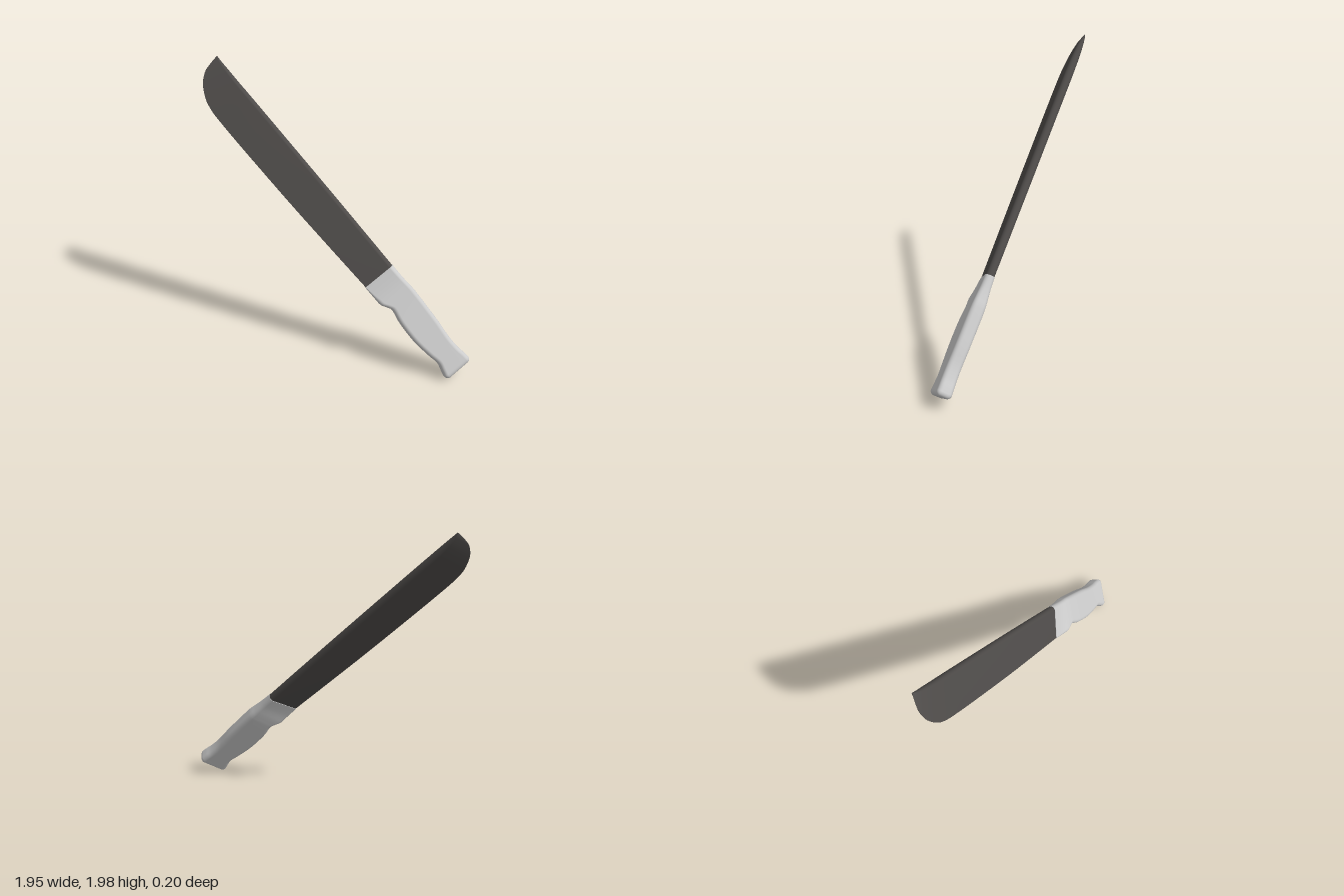
import * as THREE from 'three';

// Local frame: x = width (spine to cutting edge), y = thickness, z = length (butt to tip)
const FRAME = new THREE.Matrix4().makeBasis(
  new THREE.Vector3(-0.531, -0.543, 0.65),
  new THREE.Vector3(0.454, 0.465, 0.76),
  new THREE.Vector3(-0.715, 0.699, 0),
).setPosition(0.526, 0.538, -0.057);

const ARC = 6; // steps per rounded corner

// Rounded wedge outline: spine at w0, edge at w1, half thickness h0 and h1
function section([u, w0, w1, h0, h1, r]) {
  const points = [];
  const corners = [[w1, h1, 1, 1], [w0, h0, -1, 1], [w0, -h0, -1, -1], [w1, -h1, 1, -1]];
  corners.forEach(([w, t, sw, st], k) => {
    const q = Math.min(r, Math.abs(t), (w1 - w0) / 2);
    for (let i = 0; i <= ARC; i++) {
      const a = (k + i / ARC) * Math.PI / 2;
      points.push([w - sw * q + q * Math.cos(a), t - st * q + q * Math.sin(a), u]);
    }
  });
  return points;
}

// Smooth interpolation between the key sections
function refine(keys, steps) {
  const out = [];
  for (let k = 0; k < keys.length - 1; k++) {
    const [a, b, c, d] = [-1, 0, 1, 2].map(
      (o) => keys[THREE.MathUtils.clamp(k + o, 0, keys.length - 1)]);
    for (let i = 0; i < steps; i++) {
      const t = i / steps;
      out.push(b.map((p, n) => p + 0.5 * t * (c[n] - a[n]
        + t * (2 * a[n] - 5 * p + 4 * c[n] - d[n]
        + t * (3 * (p - c[n]) + d[n] - a[n])))));
    }
  }
  out.push(keys[keys.length - 1]);
  return out;
}

// Closed skin through the sections, with flat end caps
function loft(sections) {
  const rings = sections.map(section);
  const n = rings[0].length;
  const positions = rings.flat(2);
  const index = [];
  for (let i = 0; i < rings.length - 1; i++) {
    for (let j = 0; j < n; j++) {
      const a = i * n + j, b = i * n + (j + 1) % n;
      index.push(a, b, a + n, b, b + n, a + n);
    }
  }
  const cap = (ring, flip) => {
    const start = positions.length / 3;
    positions.push(...ring.flat());
    for (let j = 1; j < n - 1; j++) {
      index.push(start, start + (flip ? j + 1 : j), start + (flip ? j : j + 1));
    }
  };
  cap(rings[0], true);
  cap(rings[rings.length - 1], false);
  const geometry = new THREE.BufferGeometry();
  geometry.setAttribute('position', new THREE.Float32BufferAttribute(positions, 3));
  geometry.setIndex(index);
  geometry.applyMatrix4(FRAME);
  geometry.computeVertexNormals();
  return geometry;
}

export function createModel() {
  const group = new THREE.Group();
  const add = (name, geometry, color) => {
    const mesh = new THREE.Mesh(geometry, new THREE.MeshStandardMaterial({ color }));
    mesh.name = name;
    group.add(mesh);
  };

  // Blade: thick round spine, thin edge curving up to the tip
  const blade = [
    [0.20, -0.030, 0.203, 0.030, 0.002, 0.03],
    [0.60, -0.032, 0.217, 0.030, 0.002, 0.03],
    [1.00, -0.033, 0.229, 0.030, 0.002, 0.03],
    [1.50, -0.032, 0.236, 0.030, 0.002, 0.03],
    [1.74, -0.031, 0.235, 0.030, 0.002, 0.03],
    [1.82, -0.030, 0.229, 0.029, 0.002, 0.03],
    [1.89, -0.030, 0.212, 0.027, 0.002, 0.03],
    [1.976, -0.030, 0.165, 0.021, 0.002, 0.03],
    [2.03, -0.030, 0.104, 0.013, 0.002, 0.03],
    [2.05, -0.031, 0.050, 0.008, 0.002, 0.03],
    [2.063, -0.032, -0.022, 0.003, 0.001, 0.03],
  ];
  add('blade', loft(refine(blade, 5)), 0x4e4b49);

  // Handle: flared pommel, swelling grip, finger guard, then a collar hugging the blade
  const handle = [
    [-0.57, -0.026, 0.187, 0.053, 0.053, 0.03],
    [-0.53, -0.022, 0.176, 0.052, 0.052, 0.03],
    [-0.47, -0.014, 0.163, 0.051, 0.051, 0.03],
    [-0.38, -0.013, 0.178, 0.050, 0.050, 0.03],
    [-0.25, -0.025, 0.191, 0.050, 0.050, 0.03],
    [-0.10, -0.033, 0.185, 0.050, 0.049, 0.03],
    [0.00, -0.037, 0.167, 0.049, 0.045, 0.03],
    [0.04, -0.037, 0.180, 0.047, 0.041, 0.029],
    [0.085, -0.034, 0.204, 0.043, 0.034, 0.028],
    [0.155, -0.032, 0.207, 0.037, 0.018, 0.03],
    [0.24, -0.033, 0.207, 0.033, 0.005, 0.033],
  ];
  // Rounded butt end
  const butt = [];
  for (let i = 0; i < 6; i++) {
    const a = (i / 6) * Math.PI / 2;
    const inset = 0.03 * (1 - Math.sin(a));
    const [u, w0, w1, h0, h1] = handle[0];
    butt.push([u - 0.03 * Math.cos(a), w0 + inset, w1 - inset, h0 - inset, h1 - inset,
      Math.max(0.03 - inset, 0.002)]);
  }
  add('handle', loft([...butt, ...refine(handle, 6)]), 0xcccccc);

  return group;
}
